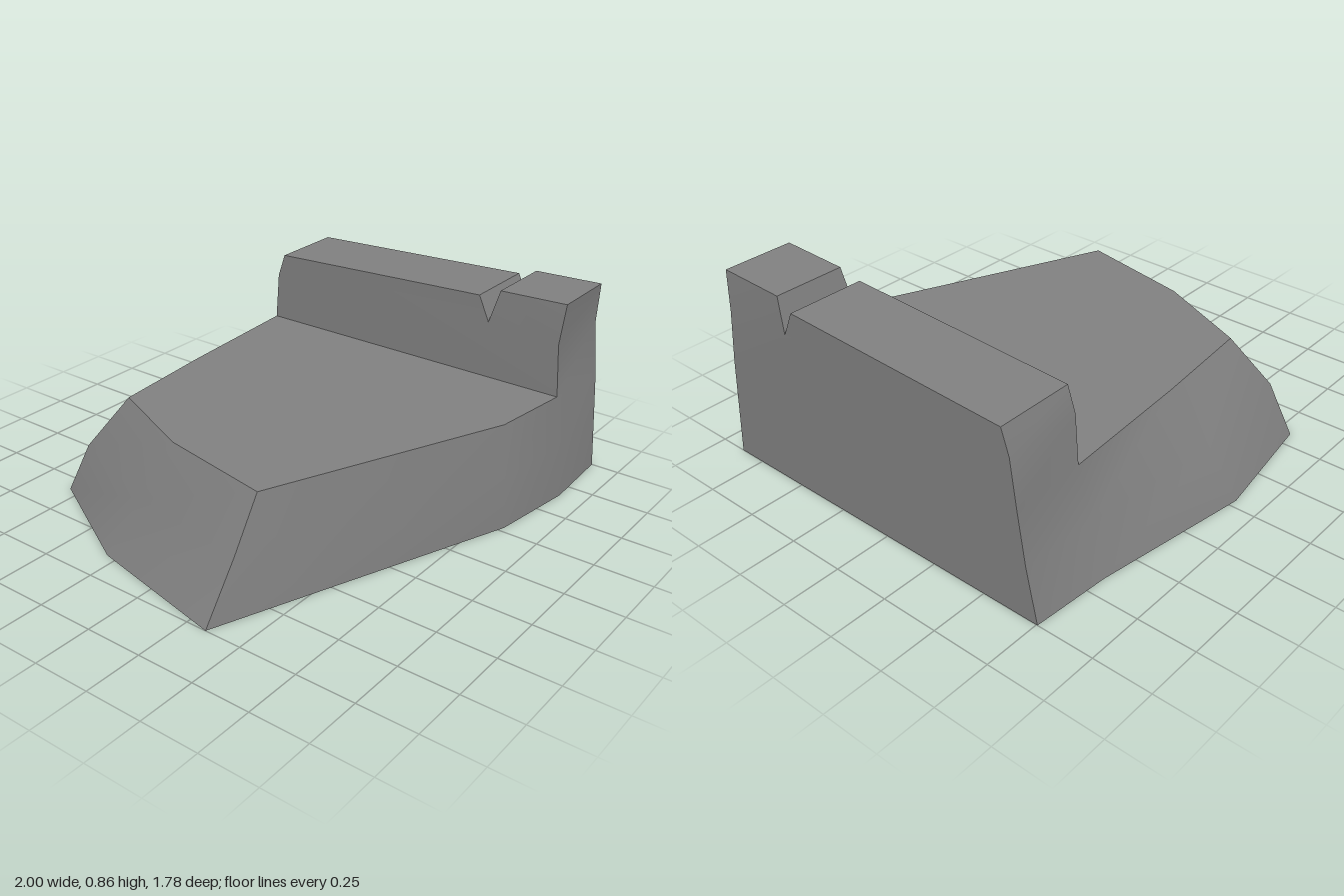
import * as THREE from 'three';
import { toCreasedNormals } from 'three/addons/utils/BufferGeometryUtils.js';

const stone = new THREE.MeshStandardMaterial({ color: 0x808080 });
stone.name = 'grey stone';

// Outlines [x, z] of the sloping base, from the front end of the ridge round to its back end
const levels = [
  { y: 0, pts: [[1, 0.875], [0.66, 0.89], [0.28, 0.835], [-1, 0.34], [-0.86, -0.3], [-0.58, -0.81], [-0.04, -0.89], [0.66, -0.78], [1, -0.755]] },
  { y: 0.23, pts: [[1, 0.86], [0.66, 0.865], [0.29, 0.815], [-0.84, 0.345], [-0.74, -0.22], [-0.545, -0.71], [0, -0.78], [0.66, -0.715], [1, -0.705]] },
  { y: 0.45, pts: [[1, 0.845], [0.66, 0.835], [0.3, 0.79], [-0.715, 0.355], [-0.615, -0.15], [-0.43, -0.57], [0.05, -0.615], [0.66, -0.655], [1, -0.67]] },
];

// Ridge profile above the base [z, y, inset of the sides], front to back over the notch
const ridge = [[0.82, 0.68, 0], [0.835, 0.855, 0.015], [0.53, 0.845, 0.015], [0.49, 0.7, 0],
  [0.44, 0.81, 0], [-0.605, 0.765, 0], [-0.64, 0.66, 0]];

export function createModel() {
  const positions = [];
  const tri = (...corners) => corners.forEach((p) => positions.push(p.x, p.y, p.z));
  const quad = (a, b, c, d) => { tri(a, b, c); tri(a, c, d); };

  // Fill a closed outline, facing the given direction
  const cap = (pts, facing) => {
    const flat = pts.map((p) => (facing.y ? new THREE.Vector2(p.x, p.z) : new THREE.Vector2(p.z, p.y)));
    for (const [i, j, k] of THREE.ShapeUtils.triangulateShape(flat, [])) {
      const n = new THREE.Triangle(pts[i], pts[j], pts[k]).getNormal(new THREE.Vector3());
      if (n.dot(facing) > 0) tri(pts[i], pts[j], pts[k]);
      else tri(pts[i], pts[k], pts[j]);
    }
  };

  // Sloping walls of the base
  const rings = levels.map(({ y, pts }) => pts.map(([x, z]) => new THREE.Vector3(x, y, z)));
  const count = rings[0].length;
  for (let l = 0; l < 2; l++) {
    for (let i = 0; i < count; i++) {
      const j = (i + 1) % count;
      quad(rings[l][j], rings[l][i], rings[l + 1][i], rings[l + 1][j]);
    }
  }

  // Underside and flat shelf
  const top = rings[2];
  cap(rings[0], new THREE.Vector3(0, -1, 0));
  cap(top.slice(1, 8), new THREE.Vector3(0, 1, 0));

  // Notched ridge along the left side
  const inner = [top[1], ...ridge.map(([z, y, d]) => new THREE.Vector3(0.66 + d, y, z)), top[7]];
  const outer = [top[0], ...ridge.map(([z, y, d]) => new THREE.Vector3(1 - d, y, z)), top[8]];
  for (let i = 0; i < inner.length - 1; i++) quad(inner[i], outer[i], outer[i + 1], inner[i + 1]);
  cap(inner, new THREE.Vector3(-1, 0, 0));
  cap(outer, new THREE.Vector3(1, 0, 0));

  const geometry = new THREE.BufferGeometry();
  geometry.setAttribute('position', new THREE.Float32BufferAttribute(positions, 3));
  const block = new THREE.Mesh(toCreasedNormals(geometry, THREE.MathUtils.degToRad(30)), stone);
  block.name = 'ridgedBlock';

  const group = new THREE.Group();
  group.name = 'notchedRidgeBlock';
  group.add(block);
  return group;
}
